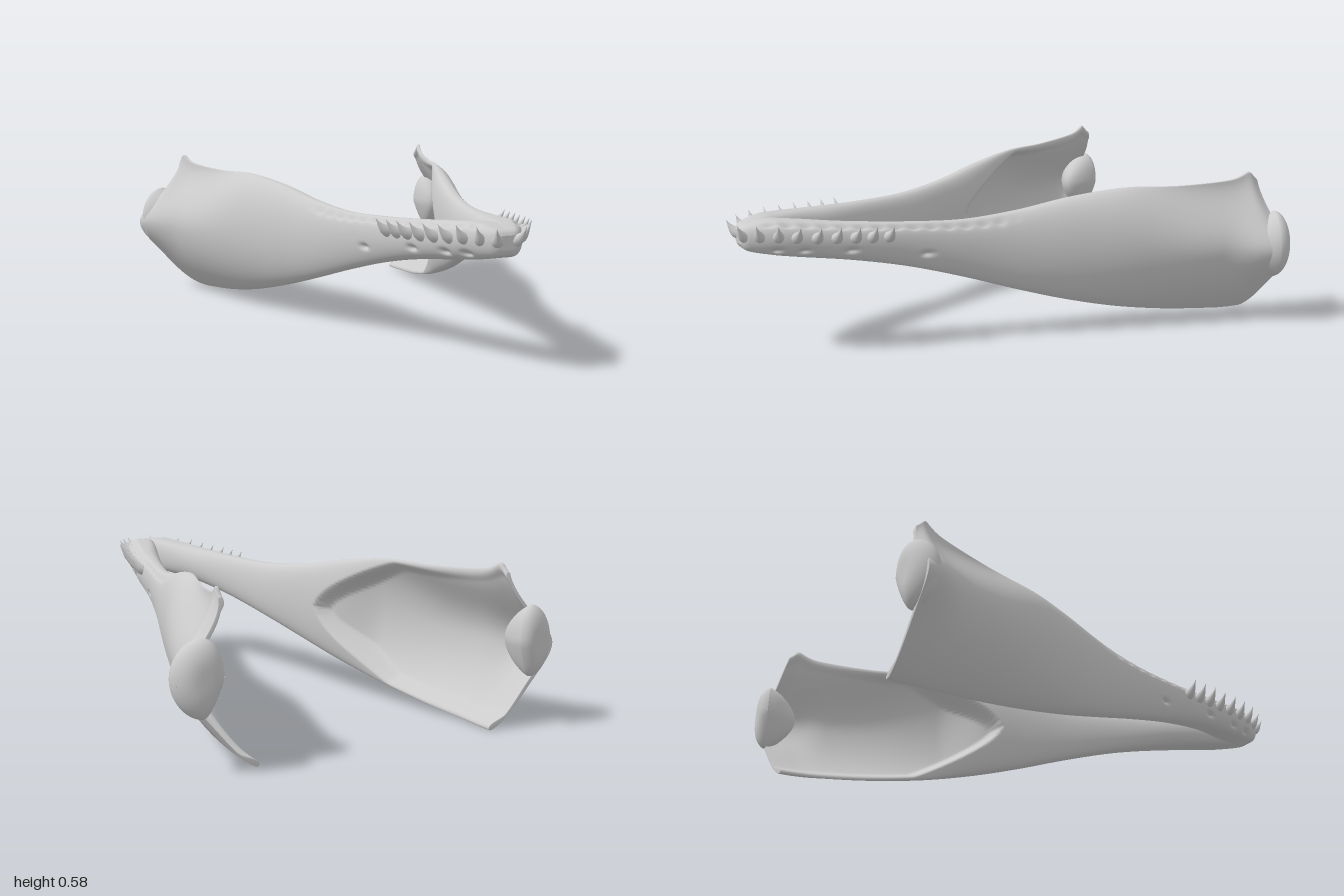
import * as THREE from 'three';

const bone = new THREE.MeshStandardMaterial({ color: 0xcccccc, side: THREE.DoubleSide });
const { smoothstep, lerp } = THREE.MathUtils;

// Stations from chin to hinge:
// z, top x, top y, bottom x, bottom y, outward bulge, inward bulge, bulge sharpness
const stations = [
  [0.975, 0.012, 0.475, 0.012, 0.425, 0.014, 0.03, 0.8],
  [0.955, 0.025, 0.493, 0.022, 0.402, 0.03, 0.05, 0.8],
  [0.88, 0.05, 0.508, 0.045, 0.384, 0.05, 0.07, 0.8],
  [0.8, 0.077, 0.503, 0.072, 0.372, 0.053, 0.068, 0.8],
  [0.6, 0.135, 0.484, 0.13, 0.344, 0.048, 0.056, 0.8],
  [0.4, 0.19, 0.47, 0.18, 0.302, 0.038, 0.042, 0.9],
  [0.2, 0.245, 0.465, 0.235, 0.245, 0.04, 0.042, 1],
  [0, 0.295, 0.485, 0.295, 0.18, 0.054, 0.046, 1.1],
  [-0.2, 0.35, 0.522, 0.345, 0.12, 0.08, 0.05, 1.2],
  [-0.4, 0.41, 0.545, 0.385, 0.07, 0.112, 0.02, 1.4],
  [-0.6, 0.475, 0.541, 0.42, 0.035, 0.134, 0.006, 1.6],
  [-0.8, 0.535, 0.552, 0.452, 0.013, 0.147, 0.003, 1.7],
  [-0.885, 0.556, 0.58, 0.46, 0.006, 0.15, 0.002, 1.7],
  [-0.945, 0.56, 0.55, 0.463, 0.004, 0.148, 0.002, 1.7],
];

// Smooth blend through the stations, u from 0 to 1
function station(u) {
  const last = stations.length - 1;
  const i = Math.min(Math.floor(u * last), last - 1);
  const t = u * last - i;
  const row = (k) => stations[Math.min(Math.max(k, 0), last)];
  return stations[0].map((_, c) => {
    const a = row(i - 1)[c], b = row(i)[c], d = row(i + 1)[c], e = row(i + 2)[c];
    return b + 0.5 * t * (d - a + t * (2 * a - 5 * b + 4 * d - e + t * (3 * (b - d) + e - a)));
  });
}

// Small nerve openings on the cheek: z, y
const pits = [[0.35, 0.355], [0.62, 0.39], [0.78, 0.4], [0.87, 0.405]];

// lean tilts the lower edge of the back part sideways
function jawPoint(u, t, outer, lean) {
  const [z, tx, ty, bx, by, out, inn, sharp] = station(u);
  const v = (1 - Math.cos(t)) / 2;
  const s = Math.max(Math.sin(t), 0);
  const y = ty + (by - ty) * v;
  const chord = tx + (bx + lean * smoothstep(-z, 0, 0.6) - tx) * v;
  const edge = lerp(0.008, 0.014, smoothstep(-z, 0.75, 0.9)) * s ** 0.4;
  // Toward the hinge the upper cheek turns concave and flares out to the knob
  const pinch = v < 0.5 ? 2.2 * smoothstep(-z, 0.3, 0.85) : 0;
  const spread = y > 0.29 ? 0.09 : 0.11;
  const flare = 0.06 * smoothstep(-z, 0.72, 0.95) * Math.exp(-(((y - 0.29) / spread) ** 2));
  const outerBulge = out * s ** (sharp + pinch) + edge + flare * s;
  let offset = outerBulge;
  let drop = 0;
  if (outer) {
    for (const [pz, py] of pits)
      offset -= 0.015 * Math.exp(-(((z - pz) / 0.018) ** 2) - ((y - py) / 0.01) ** 2);
    // Scalloped socket groove along the upper edge
    const groove = smoothstep(z, -0.02, 0.1) * (1 - smoothstep(z, 0.86, 0.95));
    drop = groove * (0.009 + 0.005 * Math.sin(z * 100)) * Math.exp(-(((t - 0.5) / 0.22) ** 2));
  } else {
    // Solid inner face, hollowed into a thin pan toward the hinge
    offset = -inn * s ** lerp(0.8, 0.4, smoothstep(z, 0.6, 0.8)) - edge;
    const reach = 0.49 * Math.sqrt(Math.min(Math.max((-0.11 - z) / 0.32, 0), 1));
    const hollow = smoothstep(reach - Math.abs(v - 0.5), 0, 0.08)
      * (0.45 + 0.55 * smoothstep(-z, 0.11, 0.3));
    offset += hollow * (outerBulge - 0.02 * s - offset);
  }
  const back = smoothstep(-z, 0.85, 0.945);
  // The two halves meet flat at the chin
  return [Math.max(chord + offset, 0), y - drop, z + 0.035 * back * (1 - v) ** 4];
}

// Closed loops lofted along the jaw, with both ends capped
function jawGeometry(lean) {
  const rows = 220, half = 60, ring = half * 2;
  const pos = [], index = [];
  for (let i = 0; i <= rows; i++)
    for (let j = 0; j < ring; j++) {
      const outer = j <= half;
      pos.push(...jawPoint(i / rows, ((outer ? j : ring - j) / half) * Math.PI, outer, lean));
    }
  for (let i = 0; i < rows; i++)
    for (let j = 0; j < ring; j++) {
      const a = i * ring + j, b = i * ring + ((j + 1) % ring);
      index.push(a, b, a + ring, b, b + ring, a + ring);
    }
  const end = rows * ring;
  for (let k = 0; k < half; k++) {
    const m = (ring - k) % ring, n = ring - k - 1;
    index.push(k + 1, k, n, n, k, m);
    index.push(end + k, end + k + 1, end + n, end + k, end + n, end + m);
  }
  const geo = new THREE.BufferGeometry();
  geo.setAttribute('position', new THREE.Float32BufferAttribute(pos, 3));
  geo.setIndex(index);
  geo.computeVertexNormals();
  return geo;
}

// Hinge knob: a cap rounded behind, tapering forward into the flared cheek
function condyleGeometry() {
  const geo = new THREE.SphereGeometry(1, 32, 24);
  const p = geo.attributes.position;
  for (let i = 0; i < p.count; i++) {
    const x = p.getX(i), y = p.getY(i), z = p.getZ(i);
    const taper = z > 0 ? 1 - 0.35 * z : 1;
    const dent = z < 0 ? 0.01 * Math.exp(-((x + 0.4) ** 2) * 5 - y * y * 5) : 0;
    // Narrower toward the lower inner side
    const width = 0.086 * (x < 0 && y < 0 ? 1 + 0.4 * y : 1);
    p.setXYZ(i, x * width * taper - 0.015 * y * y, y * 0.128 * taper,
      z * (z > 0 ? 0.1 : 0.058) + dent);
  }
  geo.rotateY(-0.45);
  geo.translate(0.654, 0.307, -0.934);
  geo.computeVertexNormals();
  return geo;
}

// Curved peg tooth running from its socket to its tip
function toothGeometry(base, tip) {
  const geo = new THREE.ConeGeometry(0.02, 1, 12, 8);
  geo.translate(0, 0.5, 0);
  const dir = tip.clone().sub(base);
  const side = new THREE.Vector3().crossVectors(dir, new THREE.Vector3(0, 1, 0)).normalize();
  const up = new THREE.Vector3().crossVectors(side, dir).normalize();
  const p = geo.attributes.position, q = new THREE.Vector3();
  for (let i = 0; i < p.count; i++) {
    const h = p.getY(i);
    const swell = 1 + 0.7 * Math.sin(Math.PI * h);
    q.copy(base).addScaledVector(dir, h)
      .addScaledVector(side, p.getX(i) * swell)
      .addScaledVector(up, -p.getZ(i) * swell - 0.014 * Math.sin(Math.PI * h));
    p.setXYZ(i, q.x, q.y, q.z);
  }
  geo.computeVertexNormals();
  return geo;
}

// Tooth tips: x, y, z
const toothTips = [
  [0.055, 0.503, 0.998], [0.1, 0.505, 0.945], [0.142, 0.505, 0.88],
  [0.174, 0.5, 0.81], [0.197, 0.495, 0.742], [0.214, 0.49, 0.675],
  [0.232, 0.487, 0.61], [0.244, 0.483, 0.55], [0.256, 0.48, 0.49],
];

function mirrored(geo) {
  const m = geo.clone().scale(-1, 1, 1);
  const idx = m.index.array;
  for (let i = 0; i < idx.length; i += 3) [idx[i], idx[i + 1]] = [idx[i + 1], idx[i]];
  m.computeVertexNormals();
  return m;
}

export function createModel() {
  const model = new THREE.Group();
  model.name = 'lowerJaw';
  const shared = [['hingeKnob', condyleGeometry()]];
  toothTips.forEach(([x, y, z], i) => {
    const tip = new THREE.Vector3(x, y, z);
    const forward = Math.max(0, 1 - i / 3);
    const base = new THREE.Vector3(x - 0.08 + 0.045 * forward, y - 0.058, z - 0.005 - 0.055 * forward);
    shared.push([`tooth${i + 1}`, toothGeometry(base, tip)]);
  });
  for (const side of ['left', 'right']) {
    const half = new THREE.Group();
    half.name = `${side}Half`;
    // The two branches lean slightly to the same side
    const jaw = jawGeometry(side === 'left' ? -0.016 : 0.014);
    for (const [name, geo] of [['jawBone', jaw], ...shared]) {
      const mesh = new THREE.Mesh(side === 'left' ? geo : mirrored(geo), bone);
      mesh.name = name;
      half.add(mesh);
    }
    model.add(half);
  }
  return model;
}
